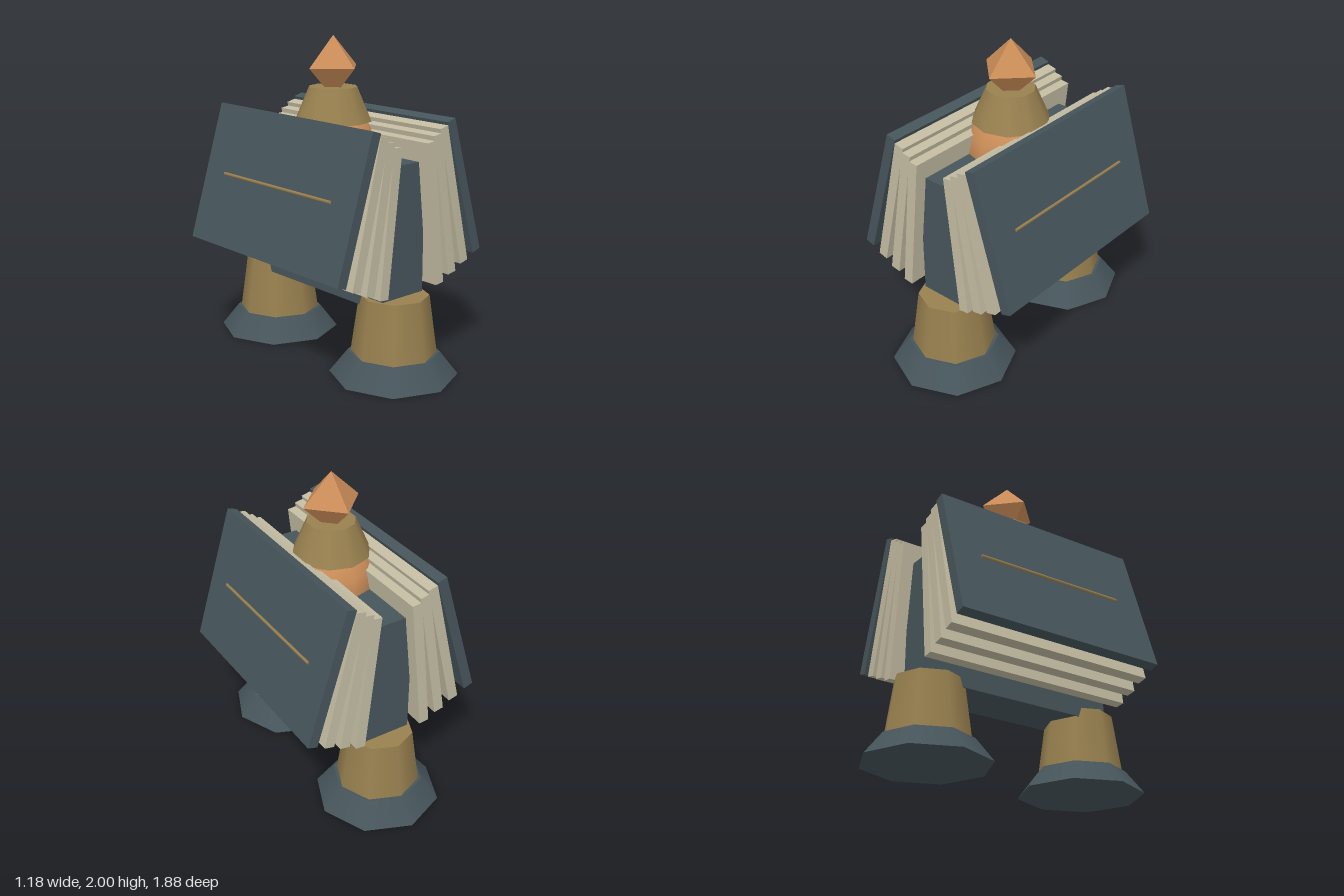
import * as THREE from 'three';

const mat = (name, color) => {
  const m = new THREE.MeshStandardMaterial({ color });
  m.name = name;
  return m;
};

export function createModel() {
  const slate = mat('slate', 0x46555b);
  const gold = mat('gold', 0x98804f);
  const copper = mat('copper', 0xc98c57);
  const cream = mat('cream', 0xc3bca2);
  const copperFacets = mat('copperFacets', 0xc98c57);
  copperFacets.flatShading = true;

  const root = new THREE.Group();
  const add = (parent, name, geometry, material, x = 0, y = 0, z = 0) => {
    const mesh = new THREE.Mesh(geometry, material);
    mesh.name = name;
    mesh.position.set(x, y, z);
    parent.add(mesh);
    return mesh;
  };

  // Two octagonal legs on flared feet, front and back
  for (const [side, s] of [['front', 1], ['back', -1]]) {
    add(root, side + 'Foot', new THREE.CylinderGeometry(0.28, 0.39, 0.14, 8), slate, 0, 0.07, s * 0.55);
    add(root, side + 'Leg', new THREE.CylinderGeometry(0.21, 0.26, 0.36, 8), gold, 0, 0.32, s * 0.55);
  }

  // Body slab, ball joint, collar and gem head
  add(root, 'body', new THREE.BoxGeometry(0.33, 0.86, 1.24), slate, 0, 0.87, 0);
  add(root, 'neckBall', new THREE.SphereGeometry(0.28, 12, 8), copper, 0, 1.3, 0);
  add(root, 'collar', new THREE.CylinderGeometry(0.15, 0.24, 0.21, 10), gold, 0, 1.585, 0);
  add(root, 'gemHead', new THREE.OctahedronGeometry(0.19), copperFacets, 0, 1.81, 0);

  // Fanned wing leaves: centre x, centre y, tilt in degrees, height of the gold line (0 = none)
  const leaves = [
    ['cover', 0.43, 1.115, 17, 1.12],
    ['outerPage', 0.343, 1.073, 13.6, 0.74],
    ['middlePage', 0.264, 1.03, 9.9, 0],
    ['innerPage', 0.183, 0.989, 6.3, 0.935],
  ];
  const leafGeometry = new THREE.BoxGeometry(0.065, 0.88, 1.4);
  const lineGeometry = new THREE.CylinderGeometry(0.01, 0.01, 1, 6).rotateX(Math.PI / 2);
  for (const [side, s] of [['left', 1], ['right', -1]]) {
    const wing = new THREE.Group();
    wing.name = side + 'Wing';
    root.add(wing);
    for (const [name, x, y, degrees, lineY] of leaves) {
      const tilt = THREE.MathUtils.degToRad(degrees);
      const leaf = new THREE.Group();
      leaf.name = name;
      leaf.position.set(s * x, y, 0);
      leaf.rotation.z = s * tilt;
      wing.add(leaf);
      add(leaf, name + 'Board', leafGeometry, name === 'cover' ? slate : cream);
      // Gold line on both faces of the leaf
      if (lineY) {
        for (const face of [1, -1]) {
          add(leaf, name + 'Line', lineGeometry, gold, face * 0.037, (lineY - y) / Math.cos(tilt), 0);
        }
      }
    }
  }
  return root;
}
